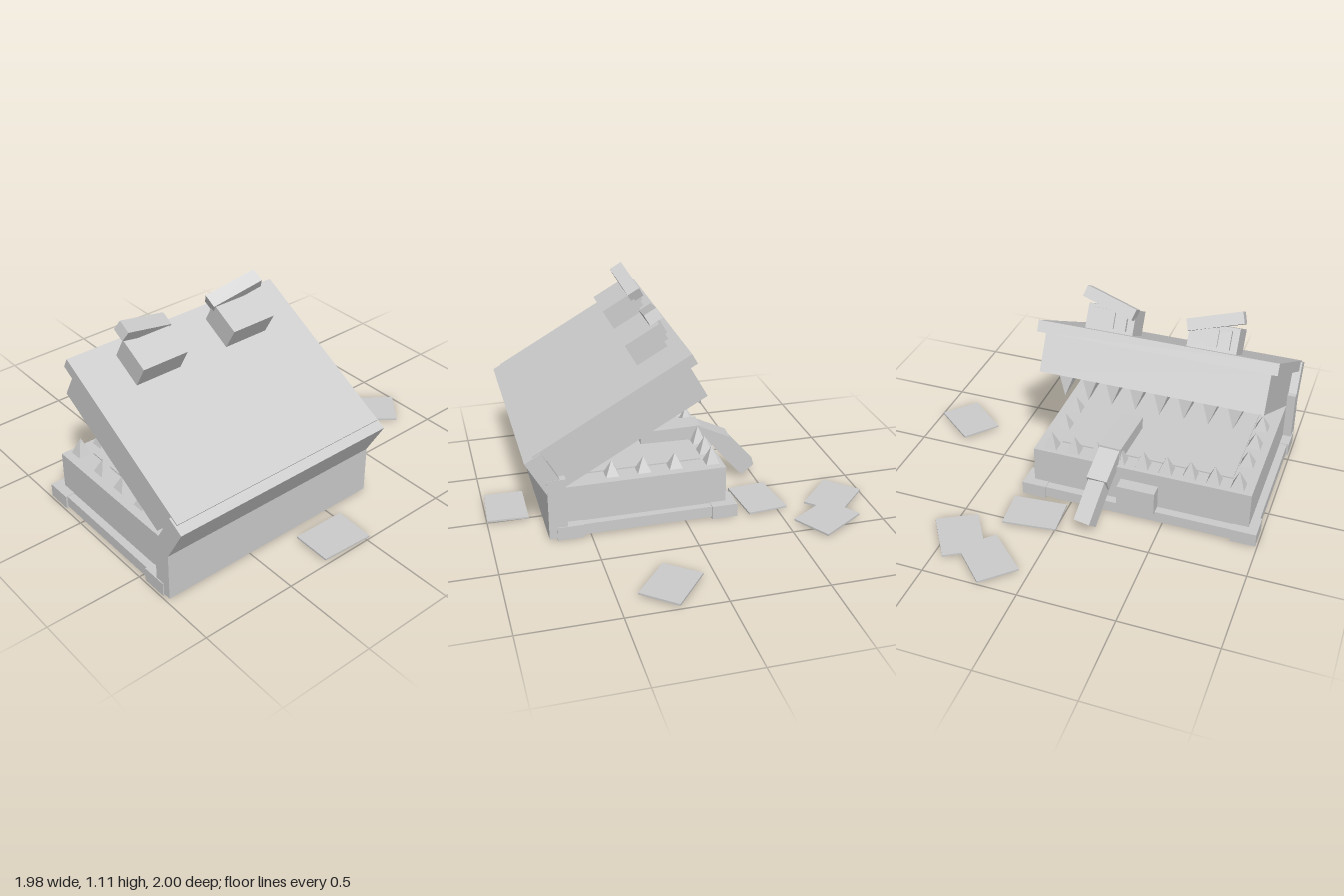
import * as THREE from 'three';

export function createModel() {
  const model = new THREE.Group();
  const grey = new THREE.MeshStandardMaterial({ color: 0xcccccc });
  const CX = -0.36; // centre line of the chest

  // box given by its extents
  function box(parent, name, x0, x1, y0, y1, z0, z1) {
    const mesh = new THREE.Mesh(new THREE.BoxGeometry(x1 - x0, y1 - y0, z1 - z0), grey);
    mesh.position.set((x0 + x1) / 2, (y0 + y1) / 2, (z0 + z1) / 2);
    mesh.name = name;
    parent.add(mesh);
    return mesh;
  }

  // four-sided pointed tooth; dir is 1 for upward, -1 for downward
  function tooth(parent, name, x, y, z, height, dir) {
    const cone = new THREE.ConeGeometry(0.05, height, 4).rotateY(Math.PI / 4).toNonIndexed();
    cone.computeVertexNormals();
    const mesh = new THREE.Mesh(cone, grey);
    mesh.position.set(x, y + dir * height / 2, z);
    if (dir < 0) mesh.rotation.x = Math.PI;
    mesh.name = name;
    parent.add(mesh);
  }

  // square-ended bar between two points
  function bar(parent, name, a, b, width, thickness) {
    const p = new THREE.Vector3(...a), q = new THREE.Vector3(...b);
    const mesh = new THREE.Mesh(new THREE.BoxGeometry(width, thickness, p.distanceTo(q)), grey);
    mesh.position.copy(p).lerp(q, 0.5);
    mesh.lookAt(q);
    mesh.name = name;
    parent.add(mesh);
  }

  // lower half of the chest
  const base = new THREE.Group();
  base.name = 'chestBase';
  model.add(base);
  box(base, 'baseSlab', -0.98, 0.26, 0.01, 0.07, -0.27, 0.66);
  box(base, 'baseBody', -0.94, 0.22, 0.07, 0.27, -0.225, 0.63);
  box(base, 'mouthFloor', -0.82, 0.10, 0.27, 0.277, -0.12, 0.53);
  box(base, 'hingeWall', -0.985, 0.265, 0.01, 0.34, 0.62, 0.715);
  box(base, 'latch', -0.46, -0.26, 0.07, 0.2, -0.295, -0.22);
  for (const s of [-1, 1]) {
    const x = CX + s * 0.565;
    for (const z of [-0.207, 0.605]) box(base, 'cornerFoot', x - 0.065, x + 0.065, 0, 0.073, z - 0.068, z + 0.068);
  }

  // lower teeth along the mouth edge and both sides
  for (let i = 0; i < 9; i++) tooth(base, 'lowerTooth', CX + (i - 4) * 0.125, 0.27, -0.167, 0.09, 1);
  for (const s of [-1, 1]) {
    for (const z of [0.03, 0.198, 0.364]) tooth(base, 'lowerSideTooth', CX + s * 0.5, 0.27, z, 0.08, 1);
  }

  // tongue hanging over the edge
  const tongue = new THREE.Group();
  tongue.name = 'tongue';
  model.add(tongue);
  bar(tongue, 'tongueRoot', [-0.20, 0.305, 0.14], [-0.185, 0.315, -0.19], 0.12, 0.08);
  bar(tongue, 'tongueMiddle', [-0.185, 0.31, -0.17], [-0.175, 0.23, -0.34], 0.11, 0.08);
  bar(tongue, 'tongueTip', [-0.18, 0.235, -0.31], [-0.15, 0.06, -0.465], 0.09, 0.09);

  // open lid, tilted about its rear upper edge
  const lid = new THREE.Group();
  lid.name = 'lid';
  lid.position.set(0, 0.48, 0.78);
  lid.rotation.x = 0.51;
  model.add(lid);
  box(lid, 'lidPlate', -0.975, 0.255, -0.06, 0, -0.925, 0);
  box(lid, 'lidBody', -0.94, 0.22, -0.26, -0.06, -0.885, -0.04);
  box(lid, 'lidHingeWall', -0.985, 0.263, -0.22, -0.008, -0.045, 0.05);
  for (let i = 0; i < 8; i++) tooth(lid, 'upperTooth', CX + (i - 3.5) * 0.125, -0.26, -0.84, 0.1, -1);

  // eyes with slanted brows
  for (const s of [-1, 1]) {
    const x = CX + s * 0.265;
    box(lid, 'eyeBlock', x - 0.125, x + 0.125, 0, 0.128, -0.85, -0.67);
    box(lid, 'eye', x - 0.09, x + 0.09, 0.015, 0.112, -0.875, -0.85);
    box(lid, 'pupil', x - 0.03, x + 0.03, 0.02, 0.108, -0.89, -0.875);
    const brow = box(lid, 'brow', x - 0.14, x + 0.14, 0.115, 0.175, -0.903, -0.83);
    brow.position.x += s * 0.005;
    brow.rotation.z = s * 0.29;
  }

  // flat scraps lying around the chest, as x, z outlines
  const scraps = [
    [[0.05, -0.85], [0.205, -1], [0.365, -0.84], [0.445, -0.89], [0.6, -0.65], [0.41, -0.54], [0.305, -0.705], [0.255, -0.655]],
    [[-0.01, -0.515], [0.27, -0.55], [0.29, -0.335], [0.005, -0.31]],
    [[0.77, -0.94 + 1], [0.99, 0.235], [0.85, 0.4], [0.635, 0.225]],
    [[-0.26, 0.78], [0.025, 0.785], [0.015, 1], [-0.265, 0.985]],
  ];
  for (const outline of scraps) {
    const shape = new THREE.Shape(outline.map(([x, z]) => new THREE.Vector2(x, -z)));
    const geometry = new THREE.ExtrudeGeometry(shape, { depth: 0.01, bevelEnabled: false });
    const scrap = new THREE.Mesh(geometry.rotateX(-Math.PI / 2), grey);
    scrap.position.y = 0.01;
    scrap.name = 'floorScrap';
    model.add(scrap);
  }

  return model;
}
